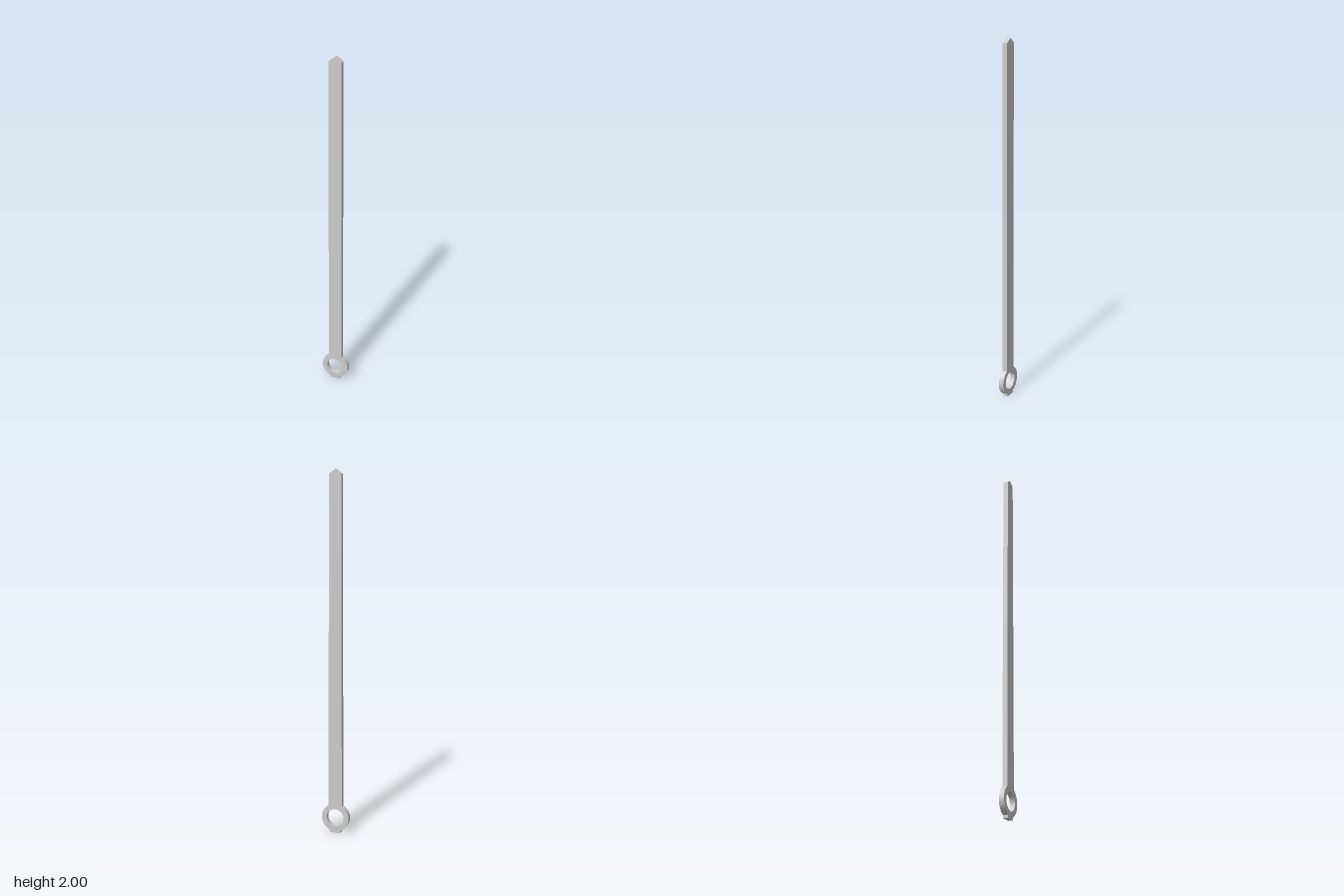
import * as THREE from 'three';
import { toCreasedNormals } from 'three/addons/utils/BufferGeometryUtils.js';

export function createModel() {
  const group = new THREE.Group();
  group.name = 'clockHand';

  const ringY = 0.088, ringR = 0.079, holeR = 0.05, thickness = 0.028;
  const bladeRoot = 0.039, bladeMid = 0.0365, bladeTip = 0.034, tailHalf = 0.03;

  // Angles where the blade and the tail meet the ring
  const bladeAngle = Math.acos(bladeRoot / ringR);
  const tailAngle = -Math.acos(tailHalf / ringR);

  // One outline: tail, right arc, tapered blade with pointed tip, left arc
  const outline = new THREE.Shape();
  outline.moveTo(-tailHalf, 0);
  outline.lineTo(tailHalf, 0);
  outline.absarc(0, ringY, ringR, tailAngle, bladeAngle, false);
  outline.lineTo(bladeMid, 1.06);
  outline.lineTo(bladeTip, 1.975);
  outline.lineTo(0, 2);
  outline.lineTo(-bladeTip, 1.975);
  outline.lineTo(-bladeMid, 1.06);
  outline.absarc(0, ringY, ringR, Math.PI - bladeAngle, Math.PI - tailAngle, false);
  outline.closePath();

  // Mounting hole through the ring
  const hole = new THREE.Path();
  hole.absarc(0, ringY, holeR, 0, Math.PI * 2, true);
  outline.holes.push(hole);

  const extruded = new THREE.ExtrudeGeometry(outline, {
    depth: thickness, bevelEnabled: false, curveSegments: 32,
  });
  extruded.translate(0, 0, -thickness / 2);

  const hand = new THREE.Mesh(
    toCreasedNormals(extruded, Math.PI / 7),
    new THREE.MeshStandardMaterial({ color: 0xcccccc })
  );
  hand.name = 'bladeWithRing';
  group.add(hand);
  return group;
}
